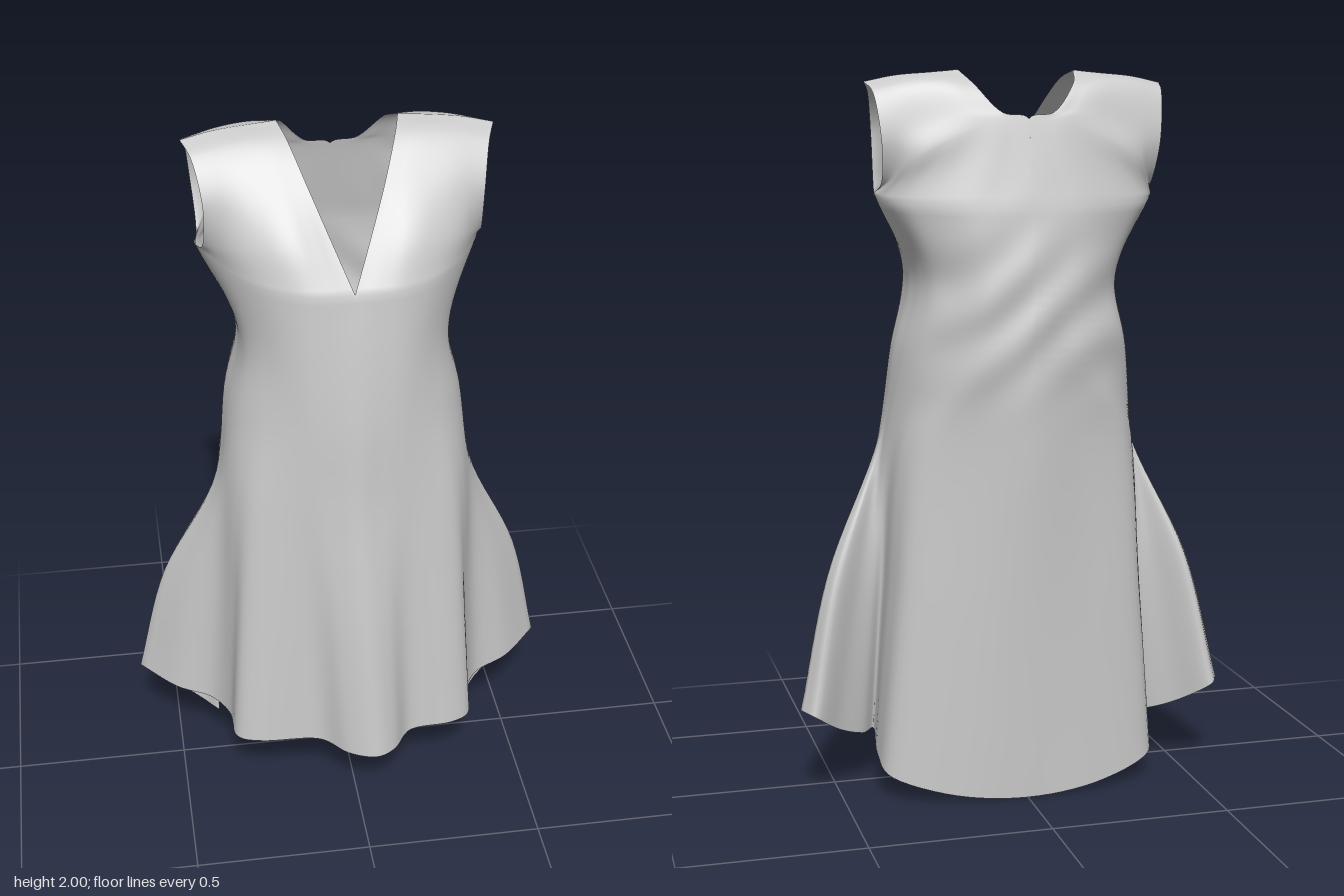
import * as THREE from 'three';
import { mergeGeometries, mergeVertices } from 'three/addons/utils/BufferGeometryUtils.js';

const V = (x, y, z) => new THREE.Vector3(x, y, z);
const spline = (pts, type = 'catmullrom') => new THREE.CatmullRomCurve3(pts, false, type, 0.5);
const resample = (pts, n) => Array.from({ length: n }, (_, i) => spline(pts).getPoint(i / (n - 1)));
const clamp = THREE.MathUtils.clamp;

// Half outlines run from centre front round the +x side to centre back (17 points, side seam at 8).
const ring = (y, ySide, xz) => resample(
  xz.map(([x, z], i) => V(x, y + (ySide - y) * (1 - Math.abs(i - 4) / 4) ** 2, z)), 17);

// Wavy hem: front fold, pleat, side flare, tucked pleat, longer back
const hem = [
  [0, 0.19, 0.33], [0.07, 0.19, 0.3], [0.14, 0.195, 0.23], [0.28, 0.2, 0.222], [0.35, 0.2, 0.185],
  [0.36, 0.215, 0.1], [0.41, 0.22, 0.02], [0.51, 0.24, -0.02], [0.612, 0.26, -0.115],
  [0.575, 0.25, -0.168], [0.5, 0.19, -0.1], [0.425, 0.155, -0.045], [0.385, 0.15, 0.0],
  [0.395, 0.11, -0.1], [0.37, 0.07, -0.2], [0.2, 0.02, -0.25], [0, 0, -0.26],
].map((p) => V(...p));
const hip = ring(1.0, 1.0, [[0, 0.25], [0.14, 0.215], [0.28, 0.165], [0.342, 0.07], [0.362, -0.005],
  [0.357, -0.04], [0.34, -0.11], [0.27, -0.235], [0, -0.315]]);
const midSkirt = hem.map((p, i) => {
  const flare = i > 6 && i < 10;
  const m = p.clone().lerp(hip[i], flare ? 0.35 : 0.45);
  m.y = (p.y + hip[i].y) / 2;
  return m;
});
const highWaist = ring(1.25, 1.25, [[0, 0.235], [0.13, 0.21], [0.24, 0.15], [0.305, 0.07], [0.326, -0.02],
  [0.322, -0.1], [0.28, -0.21], [0.15, -0.3], [0, -0.325]]);
const waist = ring(1.45, 1.45, [[0, 0.215], [0.13, 0.2], [0.22, 0.14], [0.275, 0.06], [0.288, -0.04],
  [0.285, -0.11], [0.25, -0.22], [0.14, -0.3], [0, -0.325]]);
const bust = ring(1.64, 1.675, [[0, 0.19], [0.12, 0.19], [0.23, 0.14], [0.32, 0.04], [0.385, -0.09],
  [0.375, -0.15], [0.32, -0.23], [0.17, -0.29], [0, -0.305]]);
const lower = [hem, midSkirt, hip, highWaist, waist, bust];

// Bodice rows above the bust: neckline to armhole in front, armhole to neckline behind
const shoulder = [V(0.16, 2.0, -0.125), V(0.24, 1.993, -0.122), V(0.33, 1.985, -0.115), V(0.413, 1.968, -0.108)];
const frontRows = [
  [V(0.05, 1.76, 0.12), V(0.17, 1.755, 0.132), V(0.29, 1.735, 0.08), V(0.372, 1.71, -0.015)],
  [V(0.1, 1.88, 0.04), V(0.19, 1.88, 0.038), V(0.29, 1.87, 0.028), V(0.37, 1.835, 0.018)],
  [V(0.142, 1.977, -0.055), V(0.21, 1.975, -0.052), V(0.3, 1.963, -0.05), V(0.39, 1.94, -0.045)],
  shoulder,
];
const backRows = [
  [V(0.378, 1.705, -0.16), V(0.3, 1.77, -0.238), V(0.13, 1.85, -0.255), V(0, 1.872, -0.255)],
  [V(0.385, 1.81, -0.205), V(0.3, 1.845, -0.222), V(0.17, 1.89, -0.238), V(0.07, 1.888, -0.248)],
  [V(0.4, 1.94, -0.168), V(0.31, 1.962, -0.182), V(0.22, 1.972, -0.192), V(0.136, 1.962, -0.203)],
  [...shoulder].reverse(),
];

// Column splines through the given levels, read off as rows of control points
function rowsThrough(levels, steps) {
  const columns = levels[0].map((_, c) => spline(levels.map((l) => l[c]), 'centripetal'));
  const n = (levels.length - 1) * steps;
  return Array.from({ length: n + 1 }, (_, i) => columns.map((c) => c.getPoint(i / n)));
}

// One half panel; a phantom point past the centre keeps the surface level across it
function halfPanel(isFront, side) {
  const cut = (l) => (isFront ? l.slice(0, 9) : l.slice(8));
  const upper = [cut(bust), ...(isFront ? frontRows : backRows).map((r) => resample(r, 9))];
  const rows = [...rowsThrough(lower.map(cut), 8), ...rowsThrough(upper, 8).slice(1)];
  const across = 48, pos = [], idx = [];
  for (const row of rows) {
    const edge = isFront ? row[0] : row[8], next = isFront ? row[1] : row[7];
    const phantom = V(2 * edge.x - next.x, next.y, next.z);
    const curve = spline(isFront ? [phantom, ...row] : [...row, phantom]);
    for (let i = 0; i <= across; i++) {
      const p = curve.getPoint(((isFront ? 1 : 0) + (i / across) * 8) / 9);
      pos.push(side * Math.max(0, p.x), p.y, p.z);
    }
  }
  const w = across + 1;
  for (let r = 0; r < rows.length - 1; r++) {
    for (let i = 0; i < across; i++) {
      const a = r * w + i, b = a + 1, c = a + w, d = c + 1;
      if (side > 0) idx.push(a, b, d, a, d, c);
      else idx.push(a, d, b, a, c, d);
    }
  }
  const g = new THREE.BufferGeometry();
  g.setAttribute('position', new THREE.Float32BufferAttribute(pos, 3));
  g.setIndex(idx);
  return g;
}

// Off-centre front fold and soft diagonal wrinkles across the back
function drape(g) {
  const p = g.attributes.position;
  for (let i = 0; i < p.count; i++) {
    const x = p.getX(i), y = p.getY(i), z = p.getZ(i);
    const fold = clamp(1 - Math.abs(x) / 0.32, 0, 1) * clamp(1 - y, 0, 1) * clamp(z / 0.15, 0, 1);
    const wrinkle = Math.exp(-(((y - 1.36) / 0.18) ** 2)) * clamp((-z - 0.13) / 0.12, 0, 1);
    p.setX(i, x + 0.06 * fold);
    p.setZ(i, z + wrinkle * 0.007 * Math.sin(32 * y + 16 * x + 2 * Math.sin(9 * x)));
  }
}

export function createModel() {
  const panels = [];
  for (const side of [1, -1]) panels.push(halfPanel(true, side), halfPanel(false, side));
  // Sew the panels at the centre, side and shoulder seams
  const geometry = mergeVertices(mergeGeometries(panels), 1e-4);
  drape(geometry);
  geometry.computeVertexNormals();
  const dress = new THREE.Mesh(geometry,
    new THREE.MeshStandardMaterial({ color: 0xcccccc, side: THREE.DoubleSide }));
  dress.name = 'sleevelessDress';
  const group = new THREE.Group();
  group.name = 'dress';
  group.add(dress);
  return group;
}
